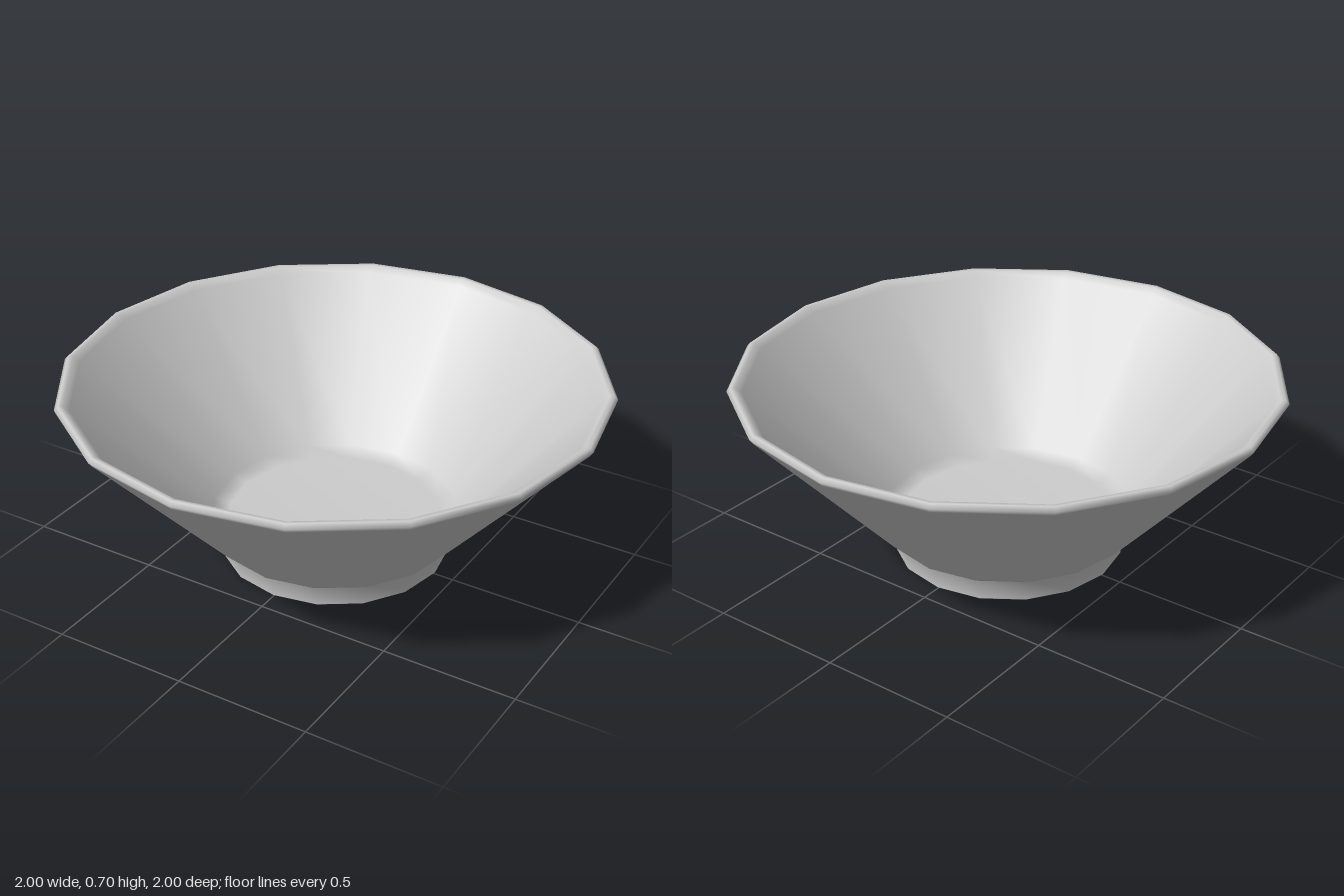
import * as THREE from 'three';

const SIDES = 16;

// Turns a closed profile of [radius, height] points into a 16-sided smooth solid
function turned(name, profile, material) {
  const points = profile.map(([r, y]) => new THREE.Vector2(r, y));
  const mesh = new THREE.Mesh(new THREE.LatheGeometry(points, SIDES), material);
  mesh.name = name;
  return mesh;
}

export function createModel() {
  const group = new THREE.Group();
  group.name = 'bowl';
  const material = new THREE.MeshStandardMaterial({ color: 0xcccccc });

  // Hollow foot ring, flared bowl wall, rounded lip and inner floor in one profile
  group.add(turned('bowlBody', [
    // recess under the foot
    [0, 0.09], [0.36, 0.09], [0.395, 0.07], [0.395, 0.01],
    // foot ring
    [0.405, 0], [0.42, 0], [0.427, 0.006], [0.427, 0.085],
    // shoulder and outer wall
    [0.47, 0.105], [0.485, 0.12], [0.985, 0.67],
    // lip
    [0.998, 0.688], [0.985, 0.702], [0.968, 0.7],
    // inner wall and floor
    [0.945, 0.68], [0.46, 0.15], [0.4, 0.125], [0, 0.125],
  ], material));

  return group;
}
